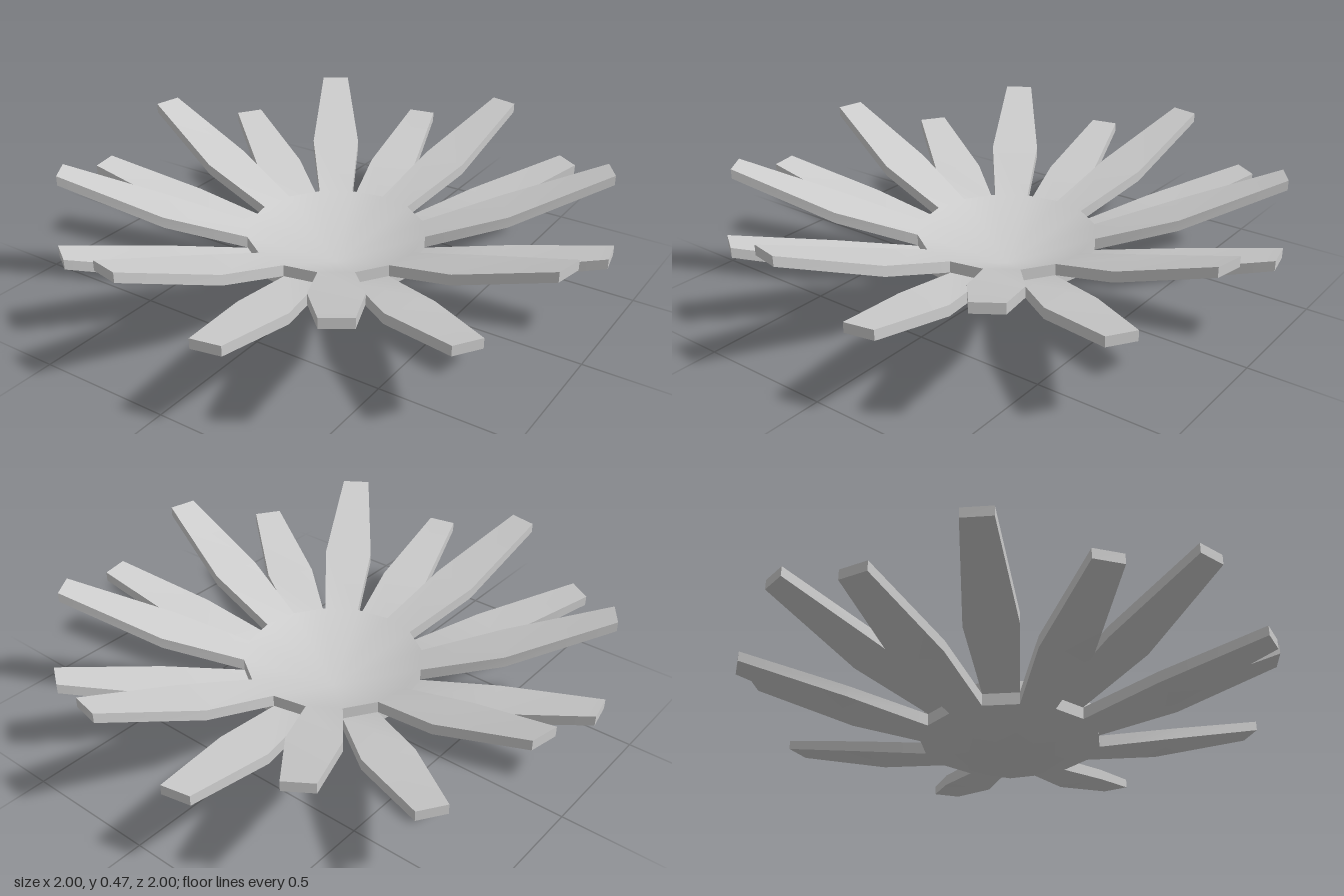
import * as THREE from 'three';
import { toCreasedNormals } from 'three/addons/utils/BufferGeometryUtils.js';

const SECTORS = 16;
const STEP = (Math.PI * 2) / SECTORS;

// One shallow bowl with eight blades on every other side.
// Each station (centre, rim, mid, tip) is [bottom y, top y].
function bladeLayer(name, firstBlade, { centre, rim, mid, tip }) {
  const positions = [];

  // Outline point: distance along direction a, offset sideways
  const point = (a, along, side, [low, high]) => ({
    x: Math.sin(a) * along + Math.cos(a) * side,
    z: Math.cos(a) * along - Math.sin(a) * side,
    low, high,
  });
  const push = (p, y) => positions.push(p.x, y, p.z);

  // Top and matching underside of a convex panel
  const panel = (...pts) => {
    for (let i = 1; i < pts.length - 1; i++) {
      const tri = [pts[0], pts[i], pts[i + 1]];
      tri.forEach((p) => push(p, p.high));
      tri.reverse().forEach((p) => push(p, p.low));
    }
  };

  // Vertical edge between two outline points
  const wall = (p, q) => {
    push(p, p.low); push(q, q.low); push(q, q.high);
    push(p, p.low); push(q, q.high); push(p, p.high);
  };

  const hub = point(0, 0, 0, centre);
  for (let i = 0; i < SECTORS; i++) {
    const rimA = point(i * STEP, 0.335, 0, rim);
    const rimB = point((i + 1) * STEP, 0.335, 0, rim);
    panel(hub, rimA, rimB);

    if (i % 2 !== firstBlade) {
      wall(rimA, rimB);
      continue;
    }

    // Blade: widens to the middle, then tapers to a blunt tip
    const a = (i + 0.5) * STEP;
    const midA = point(a, 0.627, -0.094, mid);
    const midB = point(a, 0.627, 0.094, mid);
    const tipA = point(a, 1.009, -0.054, tip);
    const tipB = point(a, 1.009, 0.054, tip);
    panel(rimA, midA, midB, rimB);
    panel(midA, tipA, tipB, midB);
    const outline = [rimA, midA, tipA, tipB, midB, rimB];
    for (let k = 0; k < outline.length - 1; k++) wall(outline[k], outline[k + 1]);
  }

  const geometry = new THREE.BufferGeometry();
  geometry.setAttribute('position', new THREE.Float32BufferAttribute(positions, 3));
  const mesh = new THREE.Mesh(
    toCreasedNormals(geometry, Math.PI / 3.5),
    new THREE.MeshStandardMaterial({ color: 0xcccccc }),
  );
  mesh.name = name;
  return mesh;
}

export function createModel() {
  const group = new THREE.Group();
  group.name = 'flowerBowl';

  // Flatter lower ring of blades
  group.add(bladeLayer('lowerBlades', 0, {
    centre: [0, 0.045], rim: [0.14, 0.185], mid: [0.2, 0.242], tip: [0.303, 0.34],
  }));

  // Steeper upper ring, nested in the gaps of the lower one
  group.add(bladeLayer('upperBlades', 1, {
    centre: [0.046, 0.09], rim: [0.186, 0.23], mid: [0.283, 0.324], tip: [0.435, 0.472],
  }));

  return group;
}
